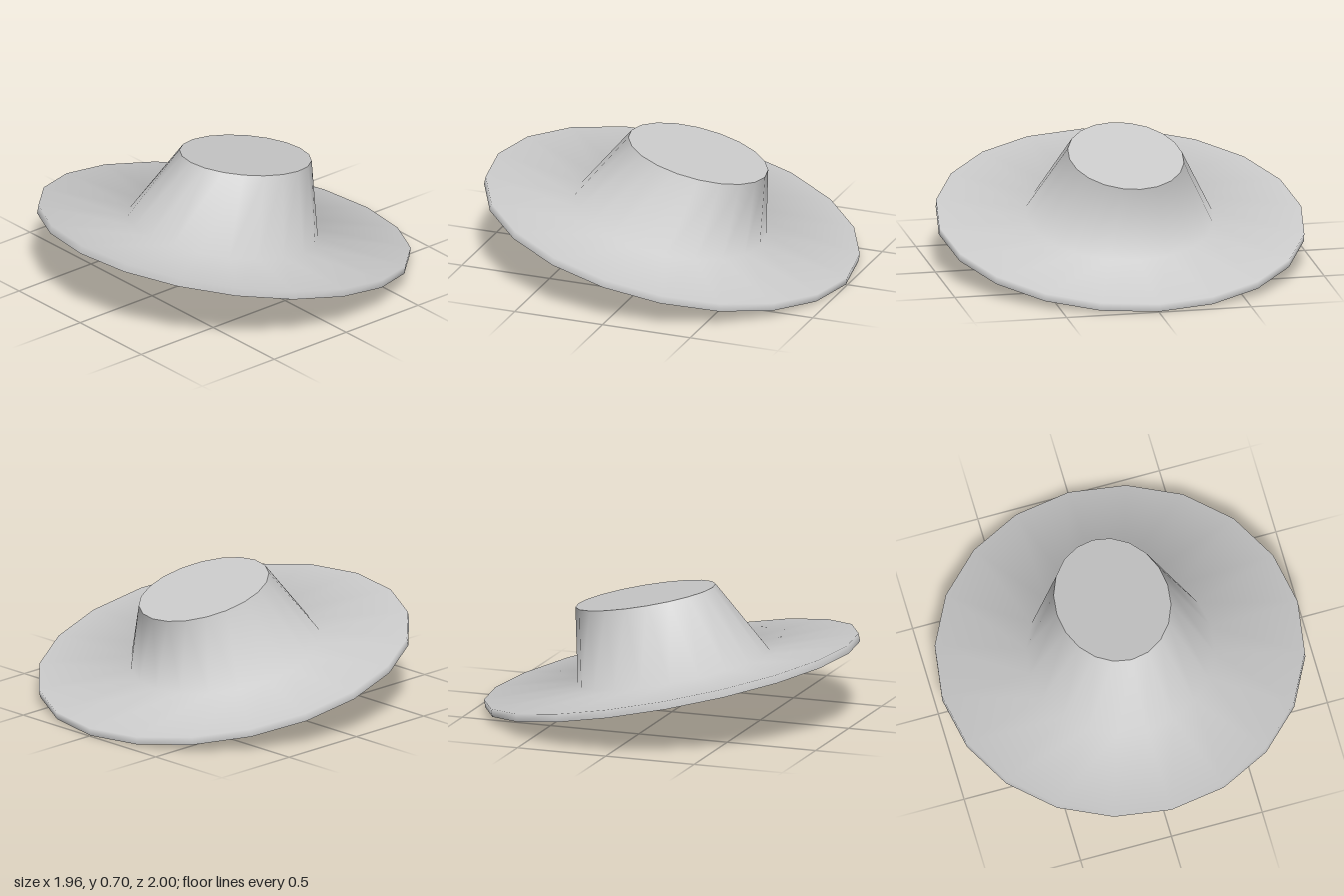
import * as THREE from 'three';

const SIDES = 20;
const material = new THREE.MeshStandardMaterial({ color: 0xcccccc });

// Skin through elliptical rings [rx, rz, y, zCentre], smooth within one skin
function loft(name, rings) {
  const positions = [], index = [];
  for (const [rx, rz, y, zc] of rings) {
    for (let i = 0; i < SIDES; i++) {
      const a = (i / SIDES) * Math.PI * 2;
      positions.push(rx * Math.cos(a), y, zc + rz * Math.sin(a));
    }
  }
  for (let j = 0; j < rings.length - 1; j++) {
    for (let i = 0; i < SIDES; i++) {
      const n = (i + 1) % SIDES;
      const a = j * SIDES + i, b = j * SIDES + n;
      const c = a + SIDES, d = b + SIDES;
      index.push(a, c, b, b, c, d);
    }
  }
  const geometry = new THREE.BufferGeometry();
  geometry.setAttribute('position', new THREE.Float32BufferAttribute(positions, 3));
  geometry.setIndex(index);
  geometry.computeVertexNormals();
  const mesh = new THREE.Mesh(geometry, material);
  mesh.name = name;
  return mesh;
}

export function createModel() {
  const brimBottom = [0.98, 1.016, 0, 0];
  const brimTop = [0.98, 1.016, 0.044, 0];
  const crownBase = [0.5, 0.52, 0.044, 0.013];
  const crownTop = [0.305, 0.388, 0.441, -0.067];
  const opening = [0.35, 0.35, 0, 0];
  const innerTop = [0.22, 0.28, 0.4, -0.067];
  const centreOf = ([, , y, z]) => [0, 0, y, z];

  const hat = new THREE.Group();
  hat.name = 'hat';
  hat.add(
    // rim, brim and crown wall flow into each other
    loft('brimAndCrown', [brimBottom, brimTop, crownBase, crownTop]),
    // flat crown top
    loft('crownTop', [crownTop, centreOf(crownTop)]),
    // underside with the head opening
    loft('brimUnderside', [opening, brimBottom]),
    // hollow inside of the crown
    loft('innerWall', [innerTop, opening]),
    loft('innerCeiling', [centreOf(innerTop), innerTop])
  );

  // the whole hat tips back, front edge raised
  hat.rotation.x = -0.2025;
  hat.position.set(0, 0.2043, 0.0045);

  const model = new THREE.Group();
  model.name = 'tiltedHat';
  model.add(hat);
  return model;
}
